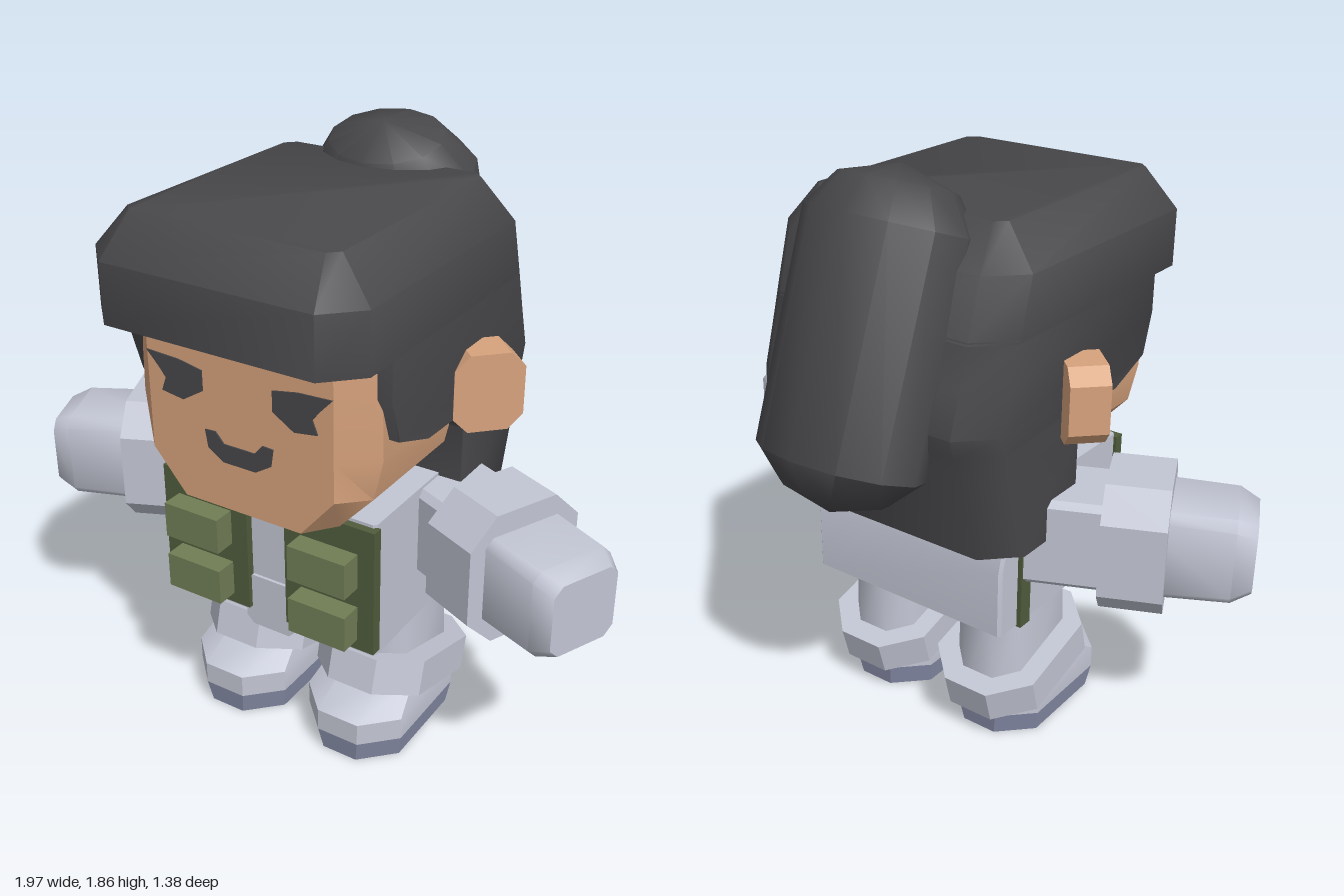
import * as THREE from 'three';
import { toCreasedNormals } from 'three/addons/utils/BufferGeometryUtils.js';

const material = (name, color) => Object.assign(new THREE.MeshStandardMaterial({ color }), { name });

// Chamfered rectangle, counter-clockwise; c0 chamfers the u0 side, c1 the u1 side
function oct(u0, u1, v0, v1, c0, c1 = c0) {
  return [[u1, v0 + c1], [u1, v1 - c1], [u1 - c1, v1], [u0 + c0, v1],
    [u0, v1 - c0], [u0, v0 + c0], [u0 + c0, v0], [u1 - c1, v0]];
}

// Skin through convex sections [position, points] along an axis.
// Section (u, v) is (y, z) along x, (z, x) along y and (x, y) along z.
const place = {
  x: (p, [u, v]) => [p, u, v],
  y: (p, [u, v]) => [v, p, u],
  z: (p, [u, v]) => [u, v, p],
};
function loft(axis, sections, crease = 0.5) {
  const rings = sections.map(([p, pts]) => pts.map((q) => place[axis](p, q)));
  const n = rings[0].length, out = [];
  const tri = (...corners) => corners.forEach((c) => out.push(...c));
  for (let r = 0; r < rings.length - 1; r++) {
    const a = rings[r], b = rings[r + 1];
    for (let i = 0; i < n; i++) {
      const j = (i + 1) % n;
      tri(a[i], a[j], b[j]);
      tri(a[i], b[j], b[i]);
    }
  }
  const first = rings[0], last = rings[rings.length - 1];
  for (let i = 1; i < n - 1; i++) {
    tri(first[0], first[i + 1], first[i]);
    tri(last[0], last[i], last[i + 1]);
  }
  const g = new THREE.BufferGeometry();
  g.setAttribute('position', new THREE.Float32BufferAttribute(out, 3));
  return toCreasedNormals(g, crease);
}

function plate(points, depth) {
  const shape = new THREE.Shape(points.map(([x, y]) => new THREE.Vector2(x, y)));
  return new THREE.ExtrudeGeometry(shape, { depth, bevelEnabled: false });
}

// Box from its limits
function box(x0, x1, y0, y1, z0, z1) {
  return new THREE.BoxGeometry(x1 - x0, y1 - y0, z1 - z0)
    .translate((x0 + x1) / 2, (y0 + y1) / 2, (z0 + z1) / 2);
}

export function createModel() {
  const model = new THREE.Group();
  model.name = 'figure';
  const hair = material('hair charcoal', 0x48484b);
  const skin = material('skin', 0xd6a27c);
  const cloth = material('pale grey cloth', 0xc2c5d3);
  const vest = material('dark green', 0x505c3c);
  const pouch = material('light green', 0x707d55);
  const rubber = material('blue grey sole', 0x8a8fab);

  function add(name, geometry, mat, parent = model) {
    const mesh = new THREE.Mesh(geometry, mat);
    mesh.name = name;
    parent.add(mesh);
    return mesh;
  }

  // Hair: overhanging cap, then sides and back narrowing downward
  add('hairCap', loft('y', [
    [1.45, oct(-0.355, 0.69, -0.44, 0.44, 0.1)],
    [1.63, oct(-0.3, 0.69, -0.44, 0.44, 0.1)],
    [1.75, oct(-0.2, 0.59, -0.34, 0.34, 0.03)],
  ], 0.9), hair);
  const hairSteps = [[0.77, -0.3, 0.07], [1.08, -0.395, 0.07], [1.135, -0.41, 0.13], [1.14, -0.412, 0.28],
    [1.2, -0.43, 0.44], [1.33, -0.39, 0.48], [1.46, -0.352, 0.48]];
  add('hairSides', loft('y', hairSteps.map(([y, back, front]) =>
    [y, oct(back, front, -0.44, 0.44, 0.1, 0.002)]), 0.9), hair);

  // Ponytail: tilted blunt capsule
  const tail = [[0, -1], [0.65, -0.94], [1, -0.848], [1, -0.165], [0.69, -0.055], [0, 0]]
    .map(([r, y]) => new THREE.Vector2(r, y));
  const tailGeometry = new THREE.LatheGeometry(tail, 12).scale(0.27, 1, 0.21);
  tailGeometry.rotateX(0.36).translate(0, 1.861, -0.196);
  add('ponytail', toCreasedNormals(tailGeometry, 0.7), hair);

  // Head with bevelled face
  const headOutline = (half) => {
    const right = half.map(([x, y]) => [x, y]);
    return [...right, ...half.map(([x, y]) => [-x, y]).reverse()];
  };
  const outer = headOutline([[0.27, 0.9], [0.38, 1.02], [0.41, 1.15], [0.4, 1.5]]);
  const inner = headOutline([[0.2, 0.9], [0.31, 1.03], [0.31, 1.15], [0.31, 1.5]]);
  add('head', loft('z', [[0, outer], [0.47, outer], [0.56, inner]]), skin);

  // Eyes and mouth
  const eye = [[0.31, 1.34], [0.2, 1.335], [0.118, 1.32], [0.118, 1.257],
    [0.187, 1.214], [0.262, 1.225], [0.246, 1.267], [0.267, 1.294]];
  const mouth = [[0.116, 1.14], [0.08, 1.142], [0.052, 1.11], [-0.052, 1.11], [-0.08, 1.142],
    [-0.116, 1.14], [-0.107, 1.085], [-0.055, 1.052], [0.055, 1.052], [0.107, 1.085]];
  add('mouth', plate(mouth, 0.007).translate(0, 0, 0.557), hair);

  // Torso, front tab and back panel of the vest
  add('torso', loft('y', [
    [0.46, oct(-0.21, 0.43, -0.365, 0.365, 0.01)],
    [0.68, oct(-0.21, 0.43, -0.365, 0.365, 0.01)],
    [0.76, oct(-0.19, 0.43, -0.365, 0.365, 0.01)],
    [0.91, oct(-0.15, 0.43, -0.365, 0.365, 0.01)],
  ]), cloth);
  add('frontTab', loft('z', [
    [0.35, oct(-0.09, 0.09, 0.42, 0.6, 0.025)],
    [0.44, oct(-0.09, 0.09, 0.42, 0.6, 0.025)],
  ]), cloth);
  add('vestBack', box(-0.38, 0.38, 0.455, 0.8, -0.12, -0.07), vest);

  for (const s of [1, -1]) {
    const side = s > 0 ? 'left' : 'right';
    add(side + 'Eye', plate(eye.map(([x, y]) => [s * x, y]), 0.007).translate(0, 0, 0.557), hair);

    // Ear, flared backwards
    const earShape = oct(-0.105, 0.105, -0.12, 0.12, 0.045);
    const ear = add(side + 'Ear', plate(earShape, 0.12).translate(0, 0, -0.06), skin);
    ear.position.set(s * 0.473, 1.21, 0.023);
    ear.rotation.y = s * Math.PI / 4;

    // Vest panel with two pouches
    const panel = new THREE.Group();
    panel.name = side + 'VestPanel';
    model.add(panel);
    const span = (a, b) => (s > 0 ? [a, b] : [-b, -a]);
    add('panel', box(...span(0.068, 0.375), 0.485, 0.9, 0.42, 0.455), vest, panel);
    for (const y of [0.52, 0.7]) {
      add('pouch', box(...span(0.125, 0.32), y, y + 0.115, 0.45, 0.525), pouch, panel);
    }

    // Arm, angled forward
    const arm = new THREE.Group();
    arm.name = side + 'Arm';
    arm.position.set(s * 0.62, 0.755, 0.147);
    arm.rotation.y = s > 0 ? -0.42 : Math.PI + 0.42;
    model.add(arm);
    const sleeve = oct(-0.145, 0.145, -0.14, 0.14, 0.02);
    add('sleeve', loft('x', [[-0.42, sleeve], [0, sleeve]]), cloth, arm);
    const cuff = oct(-0.21, 0.21, -0.197, 0.197, 0.09);
    add('cuff', loft('x', [[-0.097, cuff], [0.097, cuff]]), cloth, arm);
    add('hand', loft('x', [
      [0, oct(-0.145, 0.145, -0.145, 0.145, 0.025)],
      [0.29, oct(-0.14, 0.14, -0.14, 0.14, 0.03)],
      [0.35, oct(-0.115, 0.115, -0.115, 0.115, 0.03)],
    ], 0.9), cloth, arm);

    // Leg, tilted boot cuff, foot and sole
    const leg = new THREE.Group();
    leg.name = side + 'Leg';
    leg.position.x = s * 0.22;
    model.add(leg);
    add('trouser', loft('y', [
      [0.12, oct(-0.12, 0.26, -0.13, 0.13, 0.07)],
      [0.48, oct(-0.12, 0.26, -0.11, 0.11, 0.06)],
    ], 0.9), cloth, leg);
    const band = oct(-0.258, 0.258, -0.19, 0.19, 0.11);
    const bootCuff = add('bootCuff', loft('y', [[-0.058, band], [0.058, band]]), cloth, leg);
    bootCuff.position.set(0, 0.215, 0.075);
    bootCuff.rotation.x = -0.27;
    add('foot', loft('y', [
      [0.075, oct(-0.12, 0.41, -0.172, 0.172, 0.1)],
      [0.15, oct(-0.12, 0.41, -0.172, 0.172, 0.1)],
      [0.22, oct(-0.12, 0.28, -0.15, 0.15, 0.08)],
    ]), cloth, leg);
    add('sole', loft('y', [
      [0, oct(-0.108, 0.398, -0.16, 0.16, 0.1)],
      [0.075, oct(-0.12, 0.41, -0.172, 0.172, 0.1)],
    ]), rubber, leg);
  }
  return model;
}
